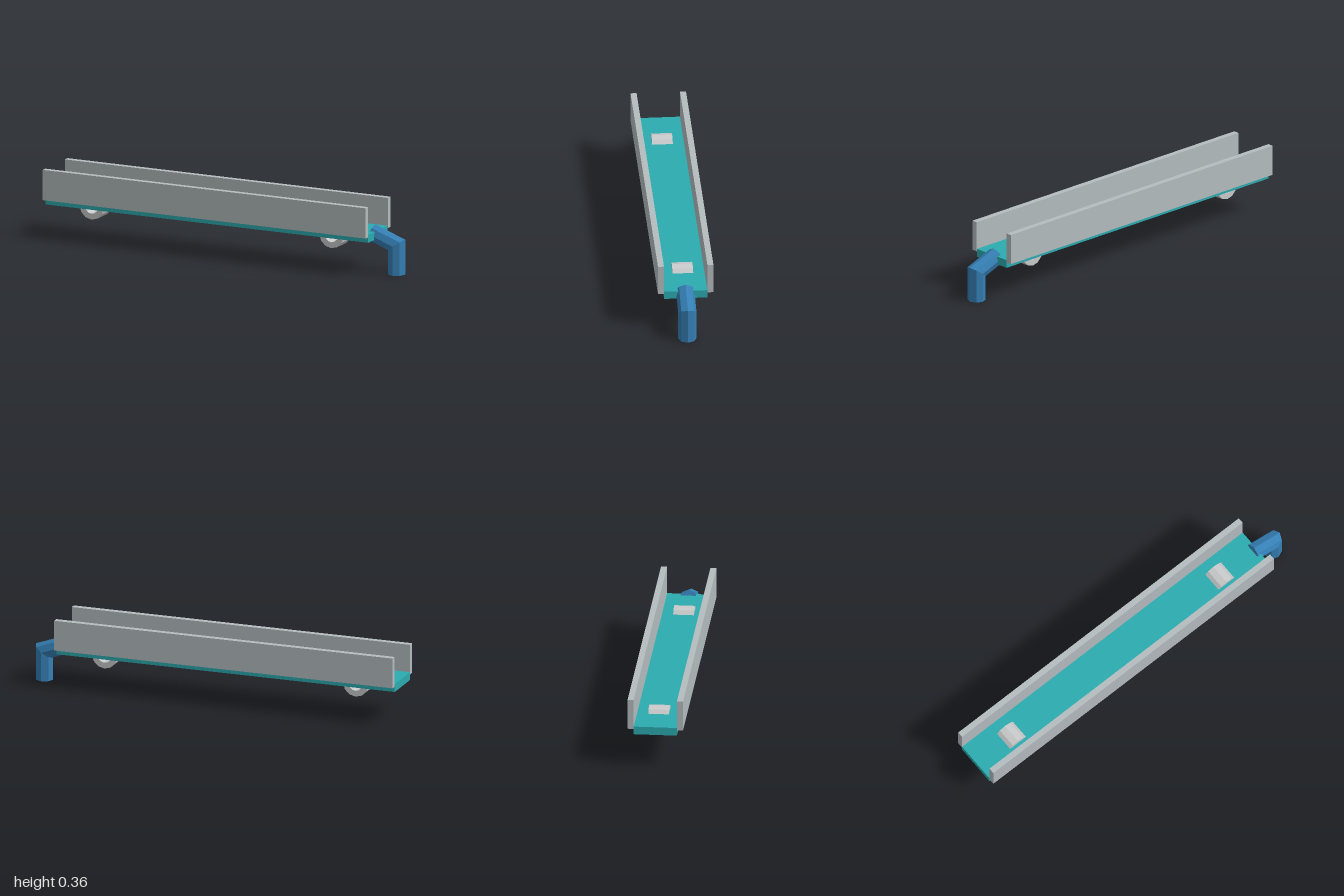
import * as THREE from 'three';

const paint = (name, color) => Object.assign(new THREE.MeshStandardMaterial({ color, flatShading: true }), { name });

export function createModel() {
  const group = new THREE.Group();
  const teal = paint('teal', 0x2cabb0);
  const wallGrey = paint('wall grey', 0xb4bcbf);
  const ringGrey = paint('ring grey', 0xc8cacb);
  const blue = paint('pipe blue', 0x357fb4);

  const add = (name, geometry, material, x, y, z) => {
    const mesh = new THREE.Mesh(geometry, material);
    mesh.name = name;
    mesh.position.set(x, y, z);
    group.add(mesh);
  };

  // Long deck with a wall along each side
  const length = 1.845, midX = -1 + length / 2;
  add('deck', new THREE.BoxGeometry(length, 0.042, 0.221), teal, midX, 0.196, 0);
  for (const side of [1, -1]) {
    add(side > 0 ? 'frontWall' : 'backWall', new THREE.BoxGeometry(length, 0.159, 0.031), wallGrey, midX, 0.2835, side * 0.1265);
  }

  // Twelve-sided rings through the deck
  const polygon = (shape, radius) => {
    const points = [];
    for (let i = 0; i < 12; i++) {
      const a = (i * Math.PI) / 6;
      points.push(new THREE.Vector2(radius * Math.cos(a), radius * Math.sin(a)));
    }
    return shape.setFromPoints(points);
  };
  const ringShape = polygon(new THREE.Shape(), 0.068);
  ringShape.holes.push(polygon(new THREE.Path(), 0.037));
  const ring = new THREE.ExtrudeGeometry(ringShape, { depth: 0.106, bevelEnabled: false });
  ring.translate(0, 0, -0.053);
  add('rightRing', ring, ringGrey, -0.765, 0.176, 0);
  add('leftRing', ring, ringGrey, 0.605, 0.176, 0);

  // Eight-sided bent spout: sections at the deck end, mitred elbow and foot.
  // Each section is a centre and the direction its outer edge leans.
  const sections = [
    { x: 0.815, y: 0.202, ux: 0.342, uy: 0.94 },
    { x: 0.952, y: 0.152, ux: 1, uy: 0.7 },
    { x: 0.952, y: 0, ux: 1, uy: 0 },
  ];
  const sides = 8, radius = 0.047;
  const positions = [], index = [];
  for (const s of sections) {
    for (let i = 0; i < sides; i++) {
      const a = (i / sides) * Math.PI * 2;
      const c = radius * Math.cos(a);
      positions.push(s.x + c * s.ux, s.y + c * s.uy, radius * Math.sin(a));
    }
  }
  for (let r = 0; r < 2; r++) {
    for (let i = 0; i < sides; i++) {
      const j = (i + 1) % sides;
      const a = r * sides + i, b = r * sides + j;
      index.push(a, b, a + sides, b, b + sides, a + sides);
    }
  }
  for (let i = 1; i < sides - 1; i++) {
    index.push(0, i + 1, i);
    index.push(16, 16 + i, 16 + i + 1);
  }
  const spout = new THREE.BufferGeometry();
  spout.setAttribute('position', new THREE.Float32BufferAttribute(positions, 3));
  spout.setIndex(index);
  const flatSpout = spout.toNonIndexed();
  flatSpout.computeVertexNormals();
  add('spout', flatSpout, blue, 0, 0, 0);

  return group;
}
